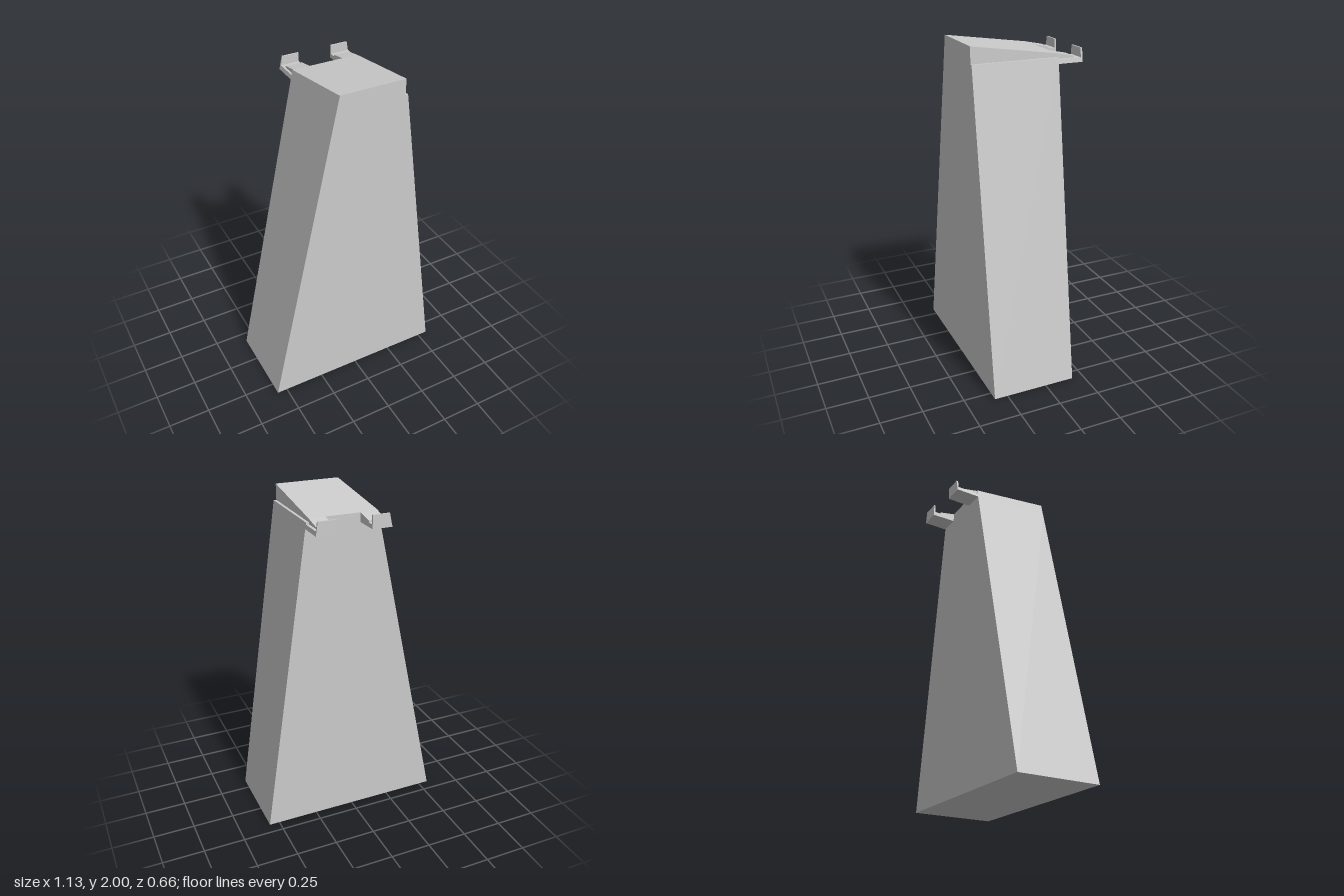
import * as THREE from 'three';

// Sloping side walls: x of the right (-x) and left (+x) side at height y
const sideR = (y) => -0.563 + 0.2165 * y;
const sideL = (y) => 0.563 - 0.149 * y;
// Sloping roof: height at depth z
const roof = (z) => (z > -0.18 ? 2 - 0.147 * (0.33 - z) : 1.925 + 0.2 * (z + 0.18));
const flat = (v) => () => v;

export function createModel() {
  const model = new THREE.Group();
  const material = new THREE.MeshStandardMaterial({ color: 0xcccccc });

  // Box whose sides follow x0(y), x1(y) and whose top follows top(z)
  function block(name, x0, x1, bottom, top, z0, z1) {
    const geometry = new THREE.BoxGeometry(1, 1, 1);
    const p = geometry.attributes.position;
    for (let i = 0; i < p.count; i++) {
      const z = p.getZ(i) < 0 ? z0 : z1;
      const y = p.getY(i) < 0 ? bottom : top(z);
      const x = p.getX(i) < 0 ? x0(y) : x1(y);
      p.setXYZ(i, x, y, z);
    }
    geometry.computeVertexNormals();
    const mesh = new THREE.Mesh(geometry, material);
    mesh.name = name;
    model.add(mesh);
  }

  // Tapered body and the wedge on top, set in a little on the left
  block('body', sideR, sideL, 0, flat(1.905), -0.18, 0.33);
  block('roofWedge', sideR, flat(0.263), 1.905, roof, -0.18, 0.33);

  // Two rear arms, each with a wedge tip and an upright lip
  const arms = [
    { side: 'right', x0: sideR, x1: flat(-0.04), tip0: -0.14, tip1: -0.04 },
    { side: 'left', x0: flat(0.167), x1: sideL, tip0: 0.167, tip1: 0.263 },
  ];
  for (const { side, x0, x1, tip0, tip1 } of arms) {
    block(side + 'Arm', x0, x1, 1.87, flat(1.895), -0.328, -0.18);
    block(side + 'WedgeTip', flat(tip0), flat(tip1), 1.895, roof, -0.28, -0.18);
    block(side + 'Lip', x0, x1, 1.895, flat(1.947), -0.328, -0.318);
  }
  return model;
}
